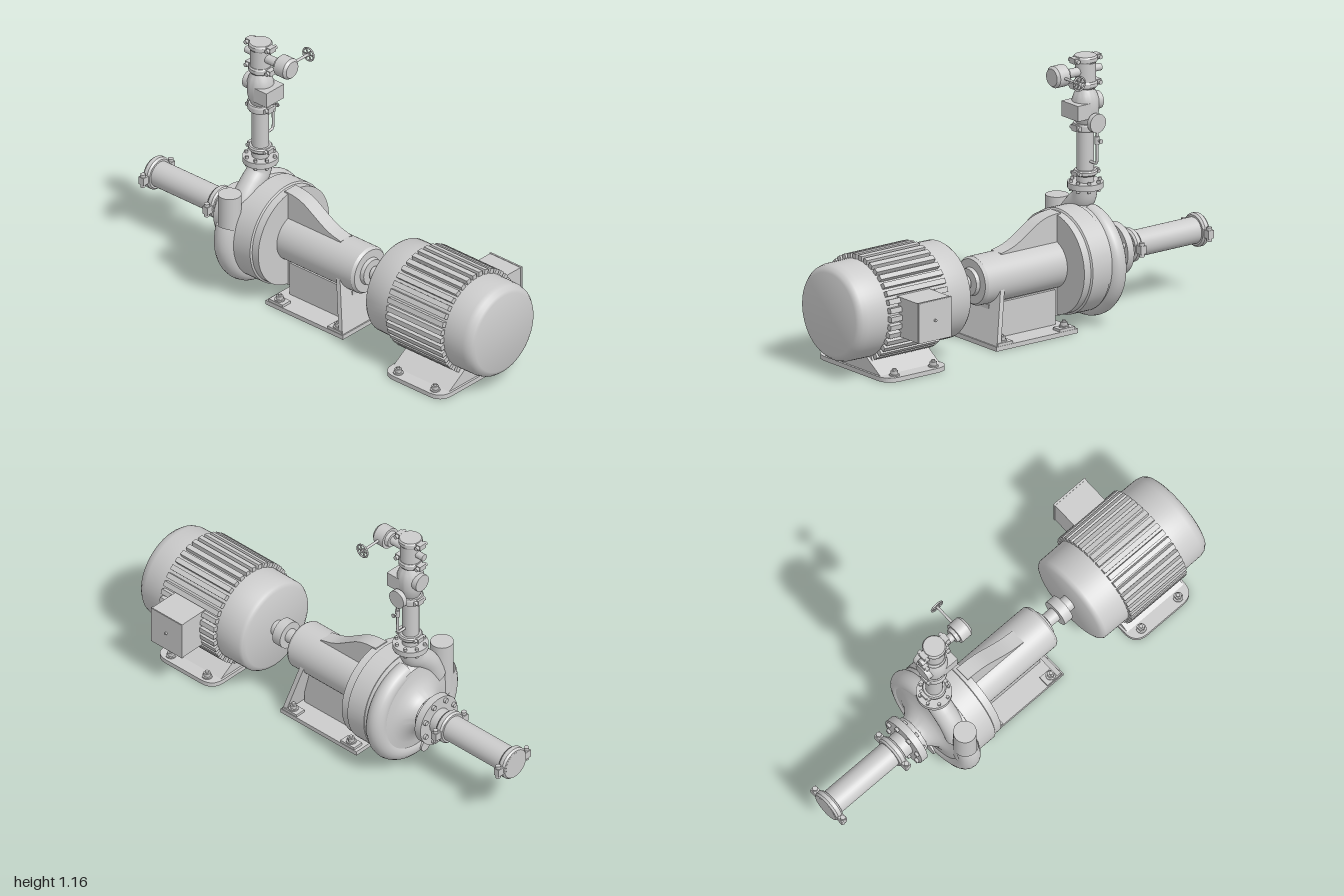
import * as THREE from 'three';
import { toCreasedNormals } from 'three/addons/utils/BufferGeometryUtils.js';
import { ParametricGeometry } from 'three/addons/geometries/ParametricGeometry.js';

const AY = 0.278, AZ = 0.04;   // shaft axis
const PX = -0.385;             // discharge pipe axis
const mat = new THREE.MeshStandardMaterial({ color: 0xcccccc, side: THREE.DoubleSide });

function add(parent, name, geo, x = 0, y = 0, z = 0) {
  const mesh = new THREE.Mesh(geo, mat);
  mesh.name = name;
  mesh.position.set(x, y, z);
  parent.add(mesh);
  return mesh;
}

function group(parent, name, x = 0, y = 0, z = 0) {
  const g = new THREE.Group();
  g.name = name;
  g.position.set(x, y, z);
  parent.add(g);
  return g;
}

// Turned part about y from [radius, height] pairs
const turned = (pts, n = 40) => toCreasedNormals(
  new THREE.LatheGeometry(pts.map(p => new THREE.Vector2(...p)), n), 0.6);
// Turned part about x from [x, radius] pairs
const turnedX = (pts, n = 48) => turned(pts.map(([x, r]) => [r, x]), n).rotateZ(-Math.PI / 2);
const box = (w, h, d) => new THREE.BoxGeometry(w, h, d);
const cyl = (r, h, n = 24) => new THREE.CylinderGeometry(r, r, h, n);
const cylX = (r, h, n) => cyl(r, h, n).rotateZ(Math.PI / 2);
const cylZ = (r, h, n) => cyl(r, h, n).rotateX(Math.PI / 2);

function shape(pts) {
  return new THREE.Shape(pts.map(p => new THREE.Vector2(...p)));
}
const extrude = (s, depth) => new THREE.ExtrudeGeometry(s, { depth, bevelEnabled: false, curveSegments: 10 });

function bolt(parent, x, y, z) {
  const b = group(parent, 'anchorBolt', x, y, z);
  add(b, 'washer', cyl(0.022, 0.006, 20), 0, 0.003);
  add(b, 'nut', cyl(0.016, 0.018, 6), 0, 0.013);
  add(b, 'stud', cyl(0.008, 0.03, 12), 0, 0.015);
}

// Grooved clamp around local y, bolt lugs on local x
function clamp(parent, y, r, h, reach) {
  const g = group(parent, 'pipeClamp', 0, y, 0);
  add(g, 'clampRing', turned([[0, -h / 2], [r * 0.9, -h / 2], [r, -h / 4], [r, h / 4], [r * 0.9, h / 2], [0, h / 2]]));
  for (const s of [-1, 1]) {
    add(g, 'clampLug', box(reach - r + 0.02, h * 0.8, 0.036), s * (reach + r - 0.02) / 2);
    add(g, 'clampBolt', cylZ(h * 0.32, 0.062, 12), s * (reach - 0.012));
  }
}

// Round flange about local y with bolts
function flange(parent, y, r, h, n) {
  const g = group(parent, 'boltedFlange', 0, y, 0);
  add(g, 'flangeDisc', cyl(r, h, 40));
  for (let i = 0; i < n; i++) {
    const a = (i + 0.5) / n * Math.PI * 2;
    add(g, 'flangeBolt', cyl(r * 0.1, h + 0.024, 6), Math.cos(a) * r * 0.83, 0, Math.sin(a) * r * 0.83);
  }
}

function buildMotor(root) {
  const m = group(root, 'motor', 0, AY, AZ);
  add(m, 'motorBody', turnedX([[0.39, 0], [0.39, 0.188], [0.398, 0.205], [0.41, 0.213], [0.535, 0.214],
    [0.85, 0.214], [0.955, 0.213], [0.978, 0.207], [0.994, 0.194], [1, 0.18], [1, 0]], 64));
  for (let i = 0; i < 38; i++) {
    const a = (i + 0.5) / 38 * Math.PI * 2;
    const fin = add(m, 'coolingFin', box(0.315, 0.036, 0.023), 0.693, Math.cos(a) * 0.217, Math.sin(a) * 0.217);
    fin.rotation.x = a;
  }
  add(m, 'terminalBox', box(0.175, 0.176, 0.15), 0.703, 0, -0.273);
  add(m, 'terminalLid', box(0.18, 0.18, 0.008), 0.703, 0, -0.342);
  add(m, 'lidScrew', cylZ(0.006, 0.012, 10), 0.703, 0, -0.35);

  // Rounded foot plate with a flared pedestal
  const b = group(root, 'motorBase', 0.705, 0, AZ + 0.01);
  const w = 0.17, d = 0.25, r = 0.07, plate = new THREE.Shape();
  plate.moveTo(-w + r, -d);
  plate.lineTo(w - r, -d); plate.quadraticCurveTo(w, -d, w, -d + r);
  plate.lineTo(w, d - r); plate.quadraticCurveTo(w, d, w - r, d);
  plate.lineTo(-w + r, d); plate.quadraticCurveTo(-w, d, -w, d - r);
  plate.lineTo(-w, -d + r); plate.quadraticCurveTo(-w, -d, -w + r, -d);
  add(b, 'footPlate', extrude(plate, 0.02).rotateX(-Math.PI / 2));
  add(b, 'pedestal', extrude(shape([[-0.195, 0.015], [0.195, 0.015], [0.08, 0.09], [-0.08, 0.09]]), 0.32)
    .rotateY(Math.PI / 2), -0.16);
  for (const x of [-0.105, 0.105]) for (const z of [-0.215, 0.215]) bolt(b, x, 0.02, z);
}

function buildBearingFrame(root) {
  const f = group(root, 'bearingFrame', 0, 0, AZ);
  add(f, 'bearingHousing', turnedX([[-0.3, 0.107], [0.222, 0.107], [0.235, 0.098], [0.235, 0.062],
    [0.252, 0.058], [0.252, 0]]), 0, AY);
  // Curved web above and below the housing
  const curve = [[-0.22, 0.228], [-0.16, 0.222], [-0.11, 0.206], [-0.06, 0.176], [-0.01, 0.145], [0.04, 0.121], [0.1, 0.106]];
  const smooth = new THREE.SplineCurve(curve.map(p => new THREE.Vector2(...p))).getPoints(24);
  const outline = [...smooth, ...smooth.map(p => new THREE.Vector2(p.x, -p.y)).reverse()];
  add(f, 'curvedWeb', toCreasedNormals(extrude(new THREE.Shape(outline), 0.07), 0.5), 0, AY, -0.035);
  add(f, 'lowerWeb', box(0.36, 0.17, 0.1), 0.0, 0.09, 0);
  add(f, 'basePlate', box(0.44, 0.02, 0.31), 0, 0.01, 0);
  // Tapered support plate, leaning back toward the casing
  const lean = extrude(shape([[-0.155, 0], [0.155, 0], [0.1, 0.26], [-0.1, 0.26]]), 0.022).rotateY(Math.PI / 2);
  const p = lean.attributes.position;
  for (let i = 0; i < p.count; i++) p.setX(i, p.getX(i) - p.getY(i) * 0.25);
  lean.computeVertexNormals();
  add(f, 'supportPlate', lean, 0.197);
  for (const x of [-0.165, 0.17]) for (const z of [-0.128, 0.128]) {
    add(f, 'mountPad', box(0.08, 0.014, 0.05), x, 0.025, z);
    bolt(f, x, 0.032, z);
  }
  // Shaft and coupling
  const s = group(root, 'shaftCoupling', 0, AY, AZ);
  add(s, 'shaft', cylX(0.02, 0.2), 0.31);
  add(s, 'couplingHub', cylX(0.032, 0.05), 0.285);
  add(s, 'couplingDisc', cylX(0.062, 0.045, 32), 0.333);
  add(s, 'couplingHub', cylX(0.035, 0.04), 0.373);
}

function buildCasing(root) {
  const c = group(root, 'pumpCasing', 0, AY, AZ);
  add(c, 'casing', turnedX([[-0.53, 0], [-0.53, 0.068], [-0.5, 0.07], [-0.47, 0.09], [-0.445, 0.118], [-0.43, 0.16],
    [-0.425, 0.21], [-0.4, 0.228], [-0.335, 0.228], [-0.335, 0.232], [-0.24, 0.232], [-0.235, 0.224],
    [-0.2, 0.224], [-0.2, 0]], 64));
  // Spiral volute growing toward the outlet
  add(c, 'volute', new ParametricGeometry((u, v, t) => {
    const a = Math.PI * (0.55 + 1.55 * u), q = v * Math.PI * 2;
    const r = 0.042 + 0.01 * u, R = 0.238 + 0.037 * Math.min(1, u * 1.1) - r;
    const k = R + r * Math.cos(q);
    t.set(PX + r * Math.sin(q), k * Math.sin(a), k * Math.cos(a));
  }, 72, 18));
  add(c, 'voluteEnd', cyl(0.05, 0.25, 32), PX, 0.097, 0.2);
  const neck = new THREE.CatmullRomCurve3([[0.15, 0.08], [0.11, 0.16], [0.06, 0.215], [0.016, 0.255], [0.004, 0.305]]
    .map(([z, y]) => new THREE.Vector3(PX, y, z)));
  add(c, 'outletNeck', new THREE.TubeGeometry(neck, 24, 0.052, 28));
  add(c, 'drainBoss', cylX(0.026, 0.05), -0.415, -0.22, 0.04);
}

function buildSuction(root) {
  const s = group(root, 'suctionLine', 0, AY, AZ);
  s.rotation.set(0, Math.PI / 2, -Math.PI / 2, 'ZYX');
  add(s, 'suctionPipe', cyl(0.058, 0.485, 36), 0, -0.757);
  flange(s, -0.538, 0.115, 0.034, 8);
  flange(s, -0.507, 0.085, 0.026, 8);
  clamp(s, -0.981, 0.074, 0.036, 0.1);
  clamp(s, -0.617, 0.074, 0.036, 0.1);
}

function buildDischarge(root) {
  const d = group(root, 'dischargeLine', PX, 0, AZ + 0.005);
  add(d, 'dischargePipe', cyl(0.037, 0.58, 32), 0, 0.87);
  flange(d, 0.592, 0.077, 0.026, 8);
  clamp(d, 0.647, 0.052, 0.024, 0.062);
  clamp(d, 0.85, 0.056, 0.034, 0.062);
  clamp(d, 1.038, 0.052, 0.03, 0.072);
  clamp(d, 1.15, 0.052, 0.03, 0.072);

  // Check valve with a square cover and a round side cap
  const v = group(d, 'checkValve', 0, 0.94, 0);
  add(v, 'valveBody', turned([[0.04, -0.075], [0.052, -0.05], [0.058, -0.02], [0.058, 0.03], [0.05, 0.055], [0.04, 0.075]]));
  add(v, 'valveCover', box(0.075, 0.068, 0.112), 0.047, -0.01);
  add(v, 'sideCap', cylX(0.04, 0.03, 28), -0.054, 0.015);

  // Butterfly valve with gear drive and handwheel
  const b = group(d, 'butterflyValve', 0, 1.097, 0);
  add(b, 'valveBody', cyl(0.045, 0.11, 32));
  add(b, 'stemBoss', cylX(0.016, 0.16, 20), 0);
  add(b, 'driveStem', cylX(0.02, 0.09, 20), 0.075);
  add(b, 'gearBox', turnedX([[0.102, 0], [0.102, 0.032], [0.118, 0.036], [0.118, 0.048], [0.17, 0.048], [0.182, 0.038], [0.182, 0]], 28));
  add(b, 'handwheelShaft', cylZ(0.006, 0.13, 12), 0.145, 0, -0.08);
  const w = group(b, 'handwheel', 0.145, 0, -0.143);
  add(w, 'rim', new THREE.TorusGeometry(0.03, 0.004, 8, 28));
  add(w, 'hub', cylZ(0.008, 0.014, 12));
  for (let i = 0; i < 3; i++) add(w, 'spoke', box(0.06, 0.005, 0.005)).rotation.z = i * Math.PI / 3;

  // Pressure gauge on a bent tapping
  const g = group(d, 'pressureGauge');
  const bend = new THREE.CatmullRomCurve3([[-0.03, 0.7], [-0.065, 0.7], [-0.076, 0.703], [-0.08, 0.715], [-0.08, 0.78], [-0.08, 0.86]]
    .map(([z, y]) => new THREE.Vector3(0, y, z)));
  add(g, 'gaugeTube', new THREE.TubeGeometry(bend, 32, 0.006, 10));
  add(g, 'gaugeCock', cyl(0.011, 0.035, 12), 0, 0.805, -0.08);
  add(g, 'cockStem', cylZ(0.004, 0.028, 8), 0, 0.805, -0.094);
  add(g, 'cockHandle', cylZ(0.01, 0.004, 12), 0, 0.805, -0.107);
  add(g, 'gaugeDial', cylZ(0.042, 0.022, 32), 0, 0.88, -0.077);
}

export function createModel() {
  const root = new THREE.Group();
  root.name = 'motorPump';
  buildMotor(root);
  buildBearingFrame(root);
  buildCasing(root);
  buildSuction(root);
  buildDischarge(root);
  return root;
}
